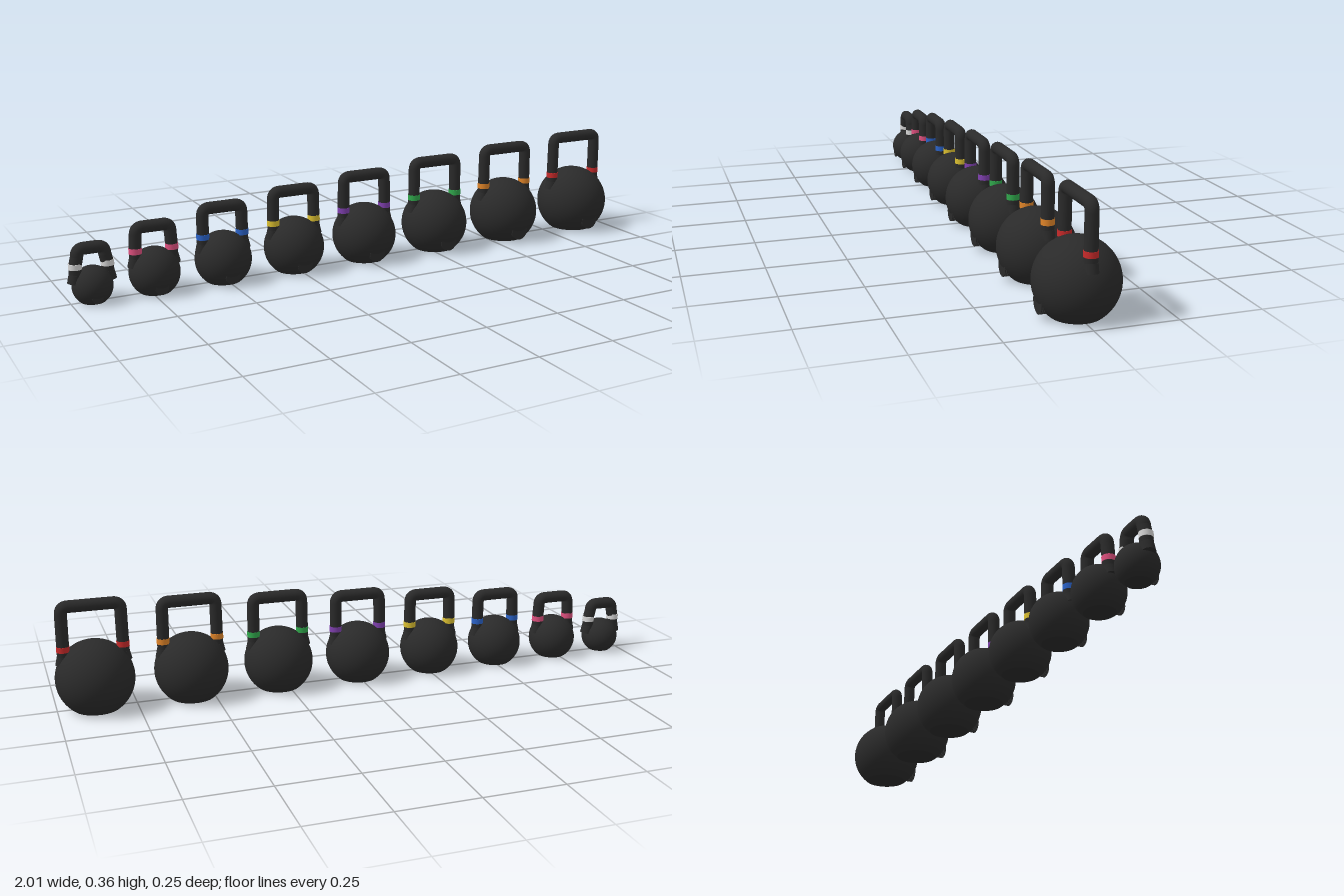
import * as THREE from 'three';

const material = (name, color) => new THREE.MeshStandardMaterial({ name, color });

// x centre, ball radius, overall height, handle half width at top and at bands, band height
const SIZES = [
  [-0.931, 0.0625, 0.19, 0.062, 0.069, 0.118, 'white', 0xd8d8d8],
  [-0.735, 0.08, 0.232, 0.075, 0.078, 0.14, 'pink', 0xe0507f],
  [-0.507, 0.091, 0.264, 0.085, 0.086, 0.155, 'blue', 0x2a62c8],
  [-0.259, 0.099, 0.288, 0.091, 0.092, 0.168, 'yellow', 0xdcc030],
  [0.002, 0.107, 0.309, 0.096, 0.097, 0.179, 'purple', 0x8040b0],
  [0.279, 0.113, 0.328, 0.101, 0.102, 0.19, 'green', 0x30a84c],
  [0.57, 0.119, 0.344, 0.1055, 0.1065, 0.198, 'orange', 0xe08428],
  [0.876, 0.124, 0.358, 0.111, 0.112, 0.204, 'red', 0xc82a2a],
];
const TUBE = 0.0195;

function add(group, name, geometry, mat) {
  const mesh = new THREE.Mesh(geometry, mat);
  mesh.name = name;
  group.add(mesh);
  return mesh;
}

// Cylinder running from point a up to point b
function strut(a, b, rBottom, rTop) {
  const dir = b.clone().sub(a);
  const geo = new THREE.CylinderGeometry(rTop, rBottom, dir.length(), 32);
  geo.applyQuaternion(new THREE.Quaternion().setFromUnitVectors(
    new THREE.Vector3(0, 1, 0), dir.normalize()));
  const mid = a.clone().add(b).multiplyScalar(0.5);
  return geo.translate(mid.x, mid.y, mid.z);
}

// Sphere cut flat at the floor
function ballGeometry(r, cy) {
  const end = Math.acos(-cy / r);
  const points = [];
  for (let i = 0; i <= 40; i++) {
    const a = end * (1 - i / 40);
    points.push(new THREE.Vector2(Math.sin(a) * r, cy + Math.cos(a) * r));
  }
  points[40].x = 0;
  return new THREE.LatheGeometry(points, 64);
}

// Rounded arch, following the centre line of the grip
function archGeometry(halfTop, halfBand, bandY, height) {
  const V = (x, y) => new THREE.Vector3(x, y, 0);
  const t = halfTop - TUBE, b = halfBand - TUBE, y = height - TUBE, c = 0.023;
  const path = new THREE.CurvePath();
  path.add(new THREE.LineCurve3(V(-b, bandY - 0.03), V(-b, bandY)));
  path.add(new THREE.LineCurve3(V(-b, bandY), V(-t, y - c)));
  path.add(new THREE.QuadraticBezierCurve3(V(-t, y - c), V(-t, y), V(-t + c, y)));
  path.add(new THREE.LineCurve3(V(-t + c, y), V(t - c, y)));
  path.add(new THREE.QuadraticBezierCurve3(V(t - c, y), V(t, y), V(t, y - c)));
  path.add(new THREE.LineCurve3(V(t, y - c), V(b, bandY)));
  path.add(new THREE.LineCurve3(V(b, bandY), V(b, bandY - 0.03)));
  return new THREE.TubeGeometry(path, 120, TUBE, 24);
}

function kettlebell([x, r, height, halfTop, halfBand, bandY, colour, hex], iron) {
  const bell = new THREE.Group();
  bell.name = `${colour} kettlebell`;
  bell.position.x = x;
  const cy = r * 0.805;
  const paint = material(`${colour} band`, hex);

  add(bell, 'ball', ballGeometry(r, cy), iron);
  const base = add(bell, 'base', new THREE.CircleGeometry(Math.sqrt(r * r - cy * cy), 64), iron);
  base.rotation.x = Math.PI / 2;
  add(bell, 'handle', archGeometry(halfTop, halfBand, bandY, height), iron);

  // Coloured bands and splayed collars on both legs
  for (const side of [-1, 1]) {
    const legX = side * (halfBand - TUBE);
    const at = (dx, dy) => new THREE.Vector3(legX + side * dx, bandY + dy, 0);
    add(bell, 'band', strut(at(0, -0.009), at(0, 0.009), 0.0205, 0.0205), paint);
    add(bell, 'collar', strut(at(0.005, -0.054), at(0, -0.026), 0.0215, 0.02), iron);
  }

  // Stacked round plates low on the front
  for (let i = 0; i < 4; i++) {
    const plate = add(bell, 'front plate',
      new THREE.CylinderGeometry(r * 0.26, r * 0.26, r * 0.018, 40), iron);
    plate.rotation.x = Math.PI / 2;
    plate.position.set(0, r * 0.37, r * (0.89 - i * 0.045));
  }
  return bell;
}

export function createModel() {
  const model = new THREE.Group();
  model.name = 'kettlebell set';
  const iron = material('black iron', 0x2a2a2a);
  for (const size of SIZES) model.add(kettlebell(size, iron));
  return model;
}
